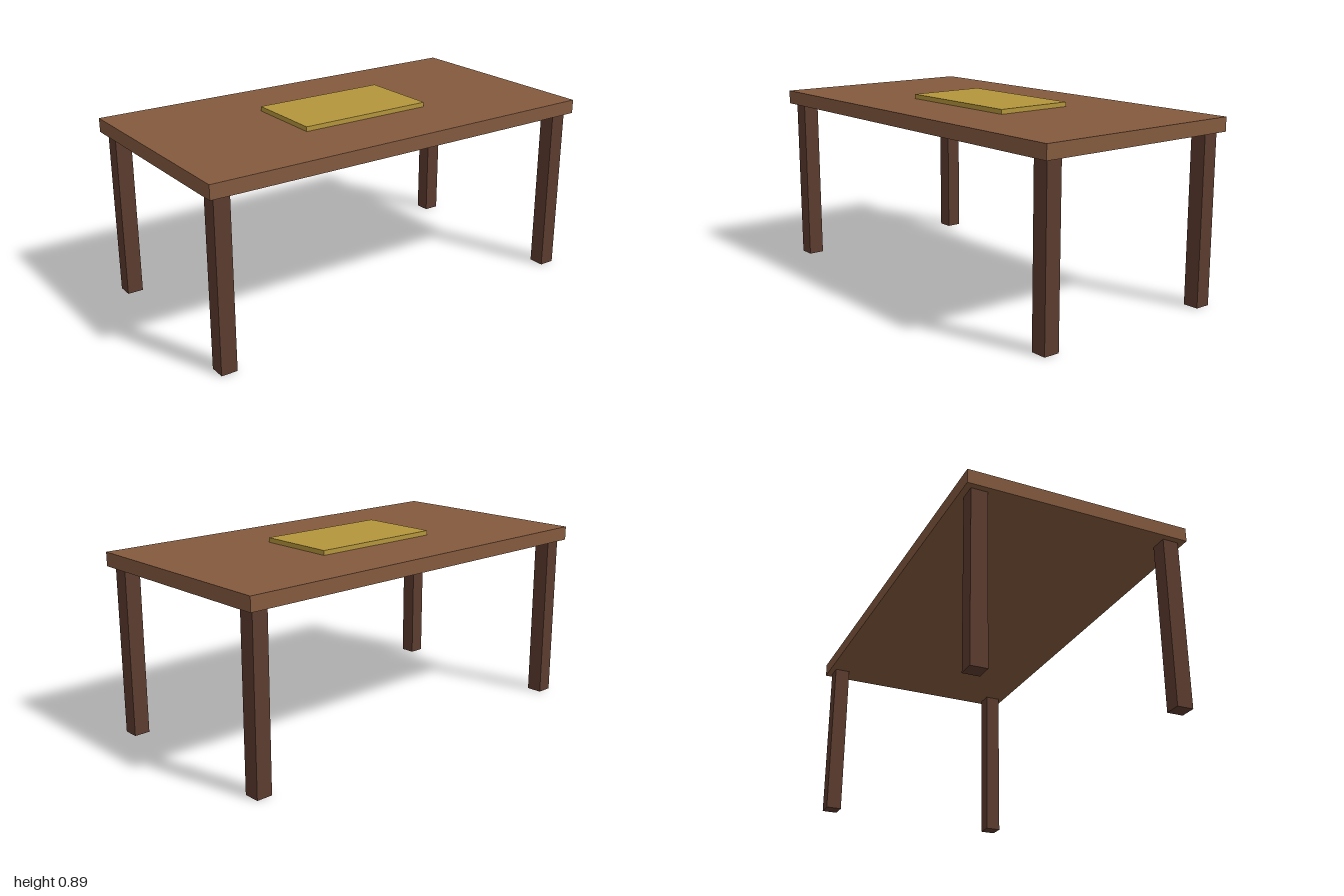
import * as THREE from 'three';

export function createModel() {
  const group = new THREE.Group();
  const material = (name, color) => {
    const m = new THREE.MeshStandardMaterial({ color });
    m.name = name;
    return m;
  };
  const topWood = material('brown wood', 0x845a3e);
  const legWood = material('dark wood', 0x5c3c2f);
  const gold = material('gold cloth', 0xb5963c);

  // Box standing on height y
  const addBox = (name, mat, [w, h, d], x, y, z) => {
    const mesh = new THREE.Mesh(new THREE.BoxGeometry(w, h, d), mat);
    mesh.name = name;
    mesh.position.set(x, y + h / 2, z);
    group.add(mesh);
  };

  // Table top and the runner lying on it
  addBox('tableTop', topWood, [2, 0.066, 1.054], 0, 0.8, 0);
  addBox('tableRunner', gold, [0.667, 0.022, 0.388], 0, 0.866, 0);

  // Four square legs, set in slightly from the corners
  for (const [side, sx] of [['Left', 1], ['Right', -1]]) {
    for (const [end, sz] of [['front', 1], ['back', -1]]) {
      addBox(`${end}${side}Leg`, legWood, [0.076, 0.8, 0.076], sx * 0.934, 0, sz * 0.461);
    }
  }
  return group;
}
